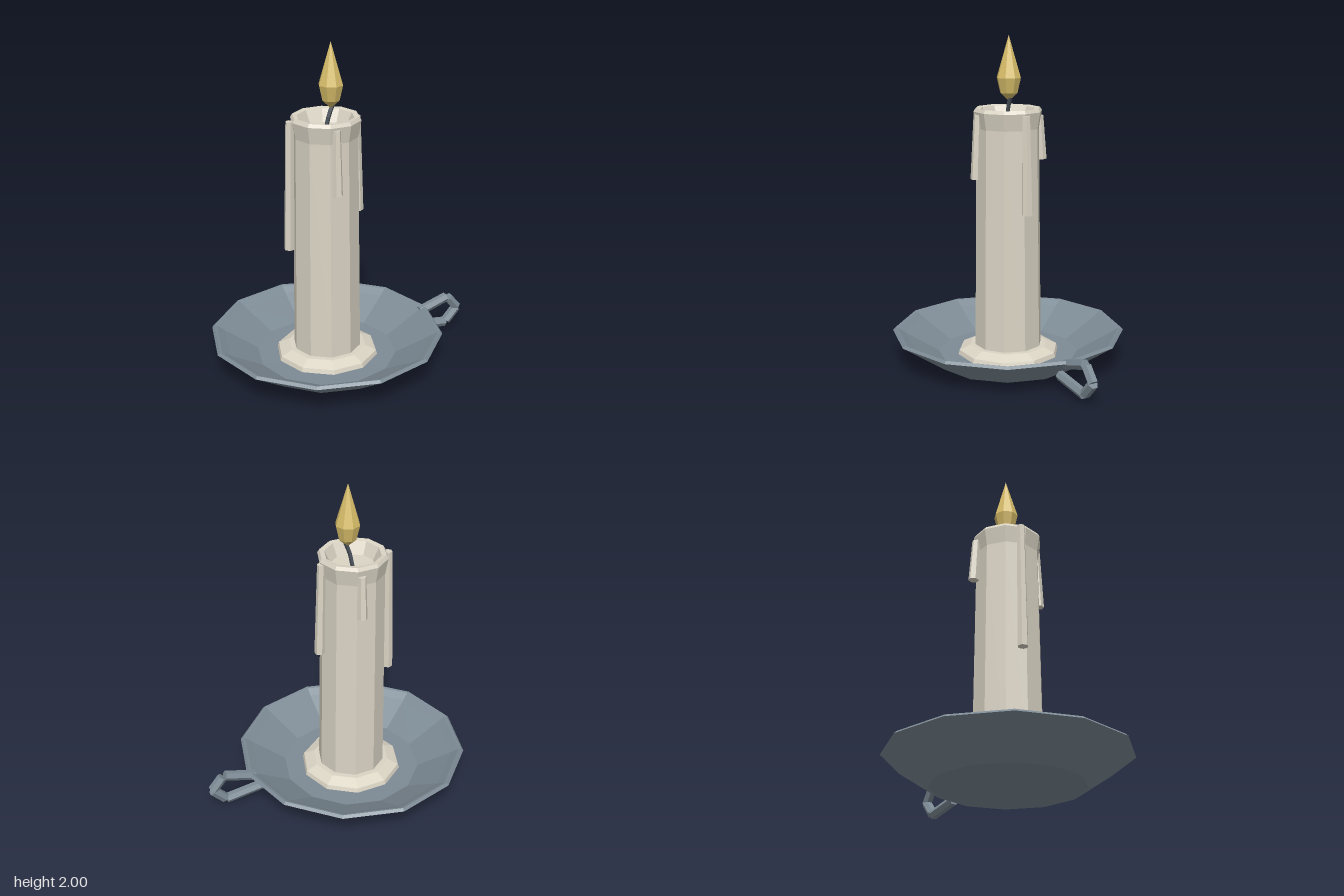
import * as THREE from 'three';

const flat = (name, color) => {
  const m = new THREE.MeshStandardMaterial({ color, flatShading: true });
  m.name = name;
  return m;
};

export function createModel() {
  const metal = flat('blue grey metal', 0x7d8b95);
  const wax = flat('cream wax', 0xdad4c4);
  const flameYellow = flat('flame yellow', 0xd8be6a);
  const wickGrey = flat('dark wick', 0x4b525c);

  const model = new THREE.Group();
  model.name = 'candleHolder';
  const CX = -0.122; // shared axis of dish and candle

  const add = (name, geometry, material, parent = model) => {
    const mesh = new THREE.Mesh(geometry, material);
    mesh.name = name;
    parent.add(mesh);
    return mesh;
  };

  // Faceted turned part with a corner on the x axis
  const turned = (name, profile, sides, material, x = CX, z = 0) => {
    const points = profile.map(([r, y]) => new THREE.Vector2(r, y));
    const mesh = add(name, new THREE.LatheGeometry(points, sides, Math.PI / 2), material);
    mesh.position.set(x, 0, z);
    return mesh;
  };

  // Six-sided bar in the xy plane from a to b
  const bar = (name, a, b, ra, rb, material, parent) => {
    const dx = b[0] - a[0], dy = b[1] - a[1];
    const mesh = add(name, new THREE.CylinderGeometry(rb, ra, Math.hypot(dx, dy), 6), material, parent);
    mesh.position.set((a[0] + b[0]) / 2, (a[1] + b[1]) / 2, 0);
    mesh.rotation.z = -Math.atan2(dx, dy);
    return mesh;
  };

  // Dish with a thin rim, hollow inside
  turned('dish', [
    [0, 0.005], [0.445, 0.005], [0.715, 0.185], [0.7, 0.2],
    [0.685, 0.195], [0.637, 0.165], [0.43, 0.05], [0, 0.045],
  ], 12, metal, -0.125);

  // Handle: four bars bent into an open loop
  const handle = new THREE.Group();
  handle.name = 'handle';
  model.add(handle);
  const bars = [
    [[0.48, 0.082], [0.73, 0.05]],
    [[0.74, 0.058], [0.816, 0.14]],
    [[0.816, 0.143], [0.75, 0.222]],
    [[0.735, 0.227], [0.54, 0.168]],
  ];
  bars.forEach(([a, b], i) => bar('handleBar' + (i + 1), a, b, 0.031, 0.031, metal, handle));

  // Melted wax around the foot
  turned('waxPuddle', [
    [0, 0.03], [0.318, 0.04], [0.307, 0.075], [0.24, 0.105], [0, 0.11],
  ], 10, wax);

  // Candle with flared lip and hollow top
  turned('candle', [
    [0.208, 0.06], [0.191, 1.45], [0.209, 1.55], [0.197, 1.57],
    [0.168, 1.565], [0.132, 1.49], [0, 1.485],
  ], 10, wax);

  // Wax drips: direction (x, z), top, bottom, distance from the axis at the bottom
  const drips = [
    [-0.215, -0.04, 1.55, 0.76, 0.228],
    [0.215, -0.008, 1.54, 0.95, 0.217],
    [-0.025, 0.2, 1.535, 1.15, 0.208],
    [0.04, -0.21, 1.515, 1.25, 0.215],
  ];
  drips.forEach(([x, z, top, bottom, r], i) => {
    const drip = new THREE.Group();
    drip.name = 'waxDrip' + (i + 1);
    drip.position.x = CX;
    drip.rotation.y = -Math.atan2(z, x);
    model.add(drip);
    bar('drip', [r, bottom], [r - 0.015, top], 0.032, 0.025, wax, drip);
  });

  // Bent wick
  const wickPath = new THREE.CatmullRomCurve3([
    new THREE.Vector3(CX, 1.48, 0),
    new THREE.Vector3(-0.108, 1.56, 0.008),
    new THREE.Vector3(-0.08, 1.635, 0.01),
  ]);
  add('wick', new THREE.TubeGeometry(wickPath, 4, 0.013, 5), wickGrey);

  // Flame
  turned('flame', [
    [0, 1.61], [0.053, 1.66], [0.074, 1.75], [0, 2],
  ], 8, flameYellow, -0.093, 0.01);

  return model;
}
